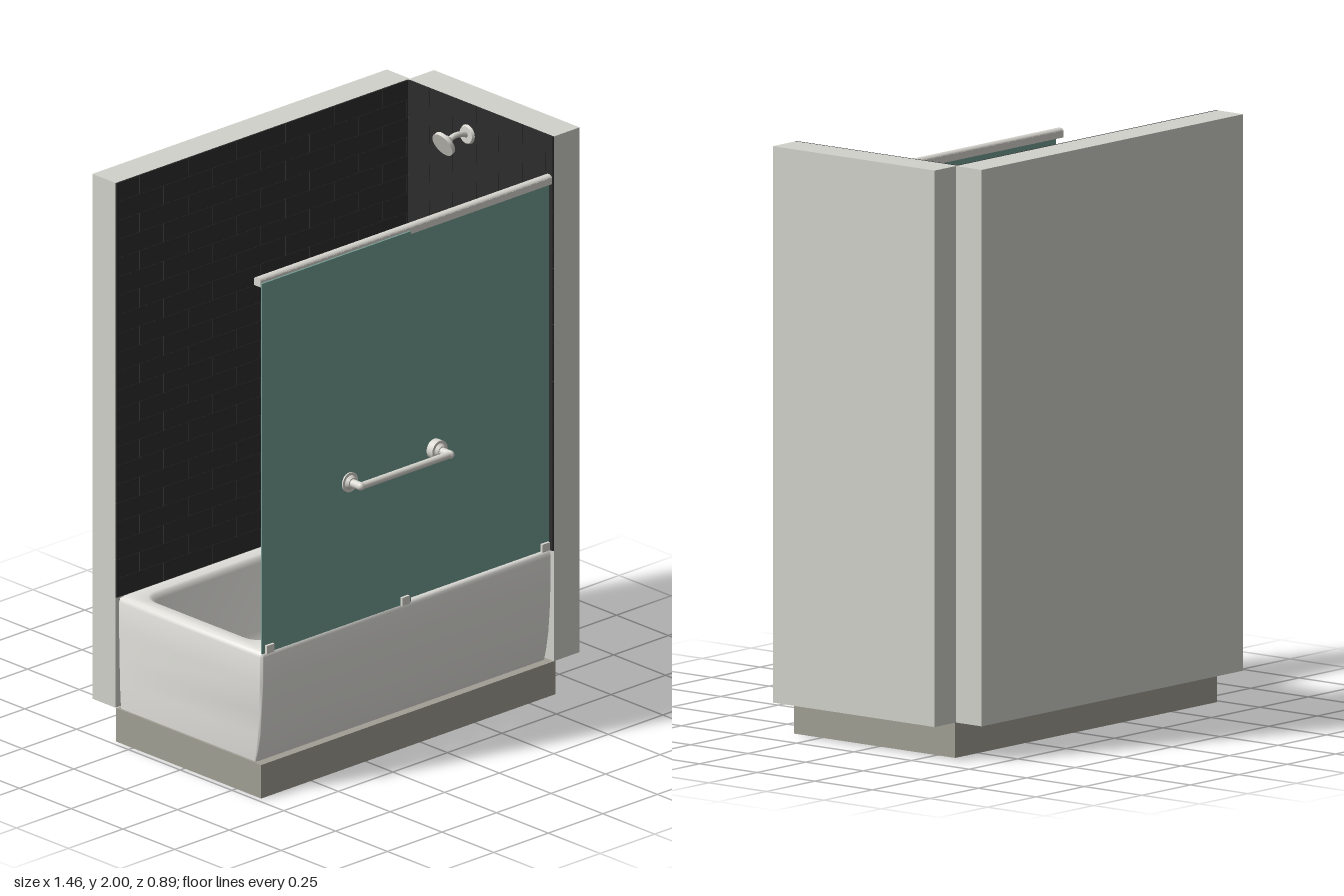
import * as THREE from 'three';
import { toCreasedNormals } from 'three/addons/utils/BufferGeometryUtils.js';

const mat = (name, color, side = THREE.FrontSide) => {
  const m = new THREE.MeshStandardMaterial({ color, side });
  m.name = name;
  return m;
};

export function createModel() {
  const model = new THREE.Group();
  model.name = 'bathtubShower';
  const plaster = mat('plaster', 0xd2d2cc);
  const stone = mat('stone', 0xa19f94);
  const tile = mat('blackTile', 0x2c2c2c);
  const glass = mat('tealGlass', 0x739c92);
  const enamel = mat('whiteEnamel', 0xe2e1dc);
  const metal = mat('paleMetal', 0xd9d7d0);

  const add = (name, geometry, material, parent = model) => {
    const mesh = new THREE.Mesh(geometry, material);
    mesh.name = name;
    parent.add(mesh);
    return mesh;
  };
  const group = (name) => {
    const g = new THREE.Group();
    g.name = name;
    model.add(g);
    return g;
  };
  // Box given by its limits on each axis
  const box = (name, material, [x0, x1], [y0, y1], [z0, z1], parent) => {
    const m = add(name, new THREE.BoxGeometry(x1 - x0, y1 - y0, z1 - z0), material, parent);
    m.position.set((x0 + x1) / 2, (y0 + y1) / 2, (z0 + z1) / 2);
    return m;
  };
  // Cylinder running between two points
  const rod = (name, from, to, r0, r1, parent) => {
    const a = new THREE.Vector3(...from), b = new THREE.Vector3(...to);
    const m = add(name, new THREE.CylinderGeometry(r1, r0, a.distanceTo(b), 24), metal, parent);
    m.position.copy(a).lerp(b, 0.5);
    m.quaternion.setFromUnitVectors(new THREE.Vector3(0, 1, 0), b.clone().sub(a).normalize());
    return m;
  };
  const tube = (name, points, r, parent) => {
    const curve = new THREE.CatmullRomCurve3(points.map((p) => new THREE.Vector3(...p)));
    return add(name, new THREE.TubeGeometry(curve, 28, r, 12), metal, parent);
  };

  // Base and the two walls
  box('base', stone, [-0.73, 0.62], [0, 0.12], [-0.33, 0.37]);
  box('backWall', plaster, [-0.73, 0.62], [0.12, 2], [-0.445, -0.333]);
  box('sideWall', plaster, [0.612, 0.73], [0.12, 2], [-0.333, 0.37]);

  // Running-bond tiles, with narrow open joints between neighbours
  const rowHeight = 0.0675, tileWidth = 0.223, gap = 0.003;
  const tileWall = (name, start, end, place) => {
    const wall = group(name);
    for (let row = 0; row < 22; row++) {
      const y1 = 2 - row * rowHeight, y0 = y1 - rowHeight + 0.0008;
      for (let s = start - (row % 2 ? 0.007 : 0.117); s < end; s += tileWidth) {
        const a = Math.max(s, start), b = Math.min(s + tileWidth - gap, end);
        if (b - a > 0.004) place(wall, a, b, y0, y1);
      }
    }
  };
  tileWall('backTiles', -0.73, 0.606, (w, a, b, y0, y1) =>
    box('tile', tile, [a, b], [y0, y1], [-0.333, -0.327], w));
  tileWall('sideTiles', -0.327, 0.37, (w, a, b, y0, y1) =>
    box('tile', tile, [0.606, 0.612], [y0, y1], [a, b], w));

  // Tub: rounded rectangles lofted up the apron, over the rim and into the basin
  // Each ring: y, xMin, xMax, zMin, zMax, corner radius
  const rings = [
    [0.12, -0.722, 0.604, -0.322, 0.338, 0.012],
    [0.16, -0.724, 0.604, -0.323, 0.348, 0.012],
    [0.22, -0.725, 0.605, -0.324, 0.357, 0.012],
    [0.3, -0.726, 0.605, -0.325, 0.364, 0.012],
    [0.4, -0.727, 0.605, -0.326, 0.368, 0.012],
    [0.5, -0.727, 0.605, -0.326, 0.369, 0.012],
    [0.513, -0.724, 0.603, -0.324, 0.366, 0.012],
    [0.52, -0.715, 0.597, -0.317, 0.358, 0.015],
    [0.519, -0.672, 0.562, -0.278, 0.298, 0.07],
    [0.513, -0.662, 0.552, -0.268, 0.288, 0.07],
    [0.495, -0.656, 0.546, -0.262, 0.282, 0.07],
    [0.28, -0.618, 0.508, -0.212, 0.235, 0.08],
    [0.235, -0.604, 0.494, -0.195, 0.221, 0.08],
    [0.208, -0.578, 0.465, -0.17, 0.196, 0.08],
    [0.2, -0.53, 0.42, -0.125, 0.15, 0.08],
  ];
  const steps = 7, count = 4 * (steps + 1), verts = [], faces = [];
  for (const [y, x0, x1, z0, z1, r] of rings) {
    const corners = [[x1 - r, z1 - r], [x0 + r, z1 - r], [x0 + r, z0 + r], [x1 - r, z0 + r]];
    corners.forEach(([cx, cz], c) => {
      for (let k = 0; k <= steps; k++) {
        const t = (c + k / steps) * Math.PI / 2;
        verts.push(cx + r * Math.cos(t), y, cz + r * Math.sin(t));
      }
    });
  }
  for (let j = 0; j < rings.length - 1; j++) {
    for (let i = 0; i < count; i++) {
      const n = (i + 1) % count;
      const a = j * count + i, c = j * count + n, b = a + count, d = c + count;
      faces.push(a, b, c, c, b, d);
    }
  }
  const center = verts.length / 3, last = (rings.length - 1) * count;
  verts.push(-0.05, 0.199, 0.01);
  for (let i = 0; i < count; i++) faces.push(last + i, center, last + (i + 1) % count);
  const tubGeometry = new THREE.BufferGeometry();
  tubGeometry.setAttribute('position', new THREE.Float32BufferAttribute(verts, 3));
  tubGeometry.setIndex(faces);
  add('tub', toCreasedNormals(tubGeometry, 0.9), enamel);
  rod('drain', [0.35, 0.198, 0.01], [0.35, 0.203, 0.01], 0.022, 0.02);

  // Sliding glass doors, top rail and bottom guides
  box('leftDoor', glass, [-0.73, -0.047], [0.518, 1.845], [0.368, 0.375]);
  box('rightDoor', glass, [-0.115, 0.606], [0.518, 1.835], [0.345, 0.352]);
  box('topRail', metal, [-0.73, 0.606], [1.83, 1.853], [0.335, 0.367]);
  const railCap = rod('railCap', [-0.73, 1.85, 0.351], [0.606, 1.85, 0.351], 0.016, 0.016);
  railCap.scale.x = 0.75;
  for (const [x, z] of [[-0.7, 0.375], [-0.08, 0.375], [0.585, 0.352]]) {
    box('doorGuide', metal, [x - 0.017, x + 0.017], [0.518, 0.547], [z - 0.012, z + 0.01]);
  }
  for (const x of [-0.117, 0.585]) {
    box('innerGuide', metal, [x - 0.017, x + 0.017], [0.518, 0.547], [0.335, 0.345]);
  }

  // Towel bar on the doors
  const bar = group('towelBar');
  for (const x of [-0.33, 0.08]) {
    rod('flange', [x, 1.025, 0.352], [x, 1.025, 0.38], 0.035, 0.035, bar);
    rod('collar', [x, 1.025, 0.38], [x, 1.025, 0.391], 0.025, 0.018, bar);
    rod('post', [x, 1.025, 0.385], [x, 1.025, 0.43], 0.014, 0.014, bar);
    add('barEnd', new THREE.SphereGeometry(0.0145, 16, 12), metal, bar).position.set(x, 1.025, 0.429);
  }
  rod('crossBar', [-0.33, 1.025, 0.429], [0.08, 1.025, 0.429], 0.0125, 0.0125, bar);

  // Shower head, mixing valve and tub spout on the side wall
  const z = -0.04;
  const shower = group('showerHead');
  rod('showerFlange', [0.607, 1.89, z], [0.597, 1.89, z], 0.035, 0.03, shower);
  tube('showerArm', [[0.603, 1.89, z], [0.57, 1.9, z], [0.54, 1.9, z], [0.515, 1.89, z]], 0.01, shower);
  rod('showerNeck', [0.522, 1.896, z], [0.502, 1.888, z], 0.014, 0.038, shower);
  rod('showerFace', [0.503, 1.8885, z], [0.49, 1.883, z], 0.045, 0.045, shower);

  const valve = group('mixingValve');
  rod('valvePlate', [0.607, 1, z], [0.594, 1, z], 0.065, 0.06, valve);
  rod('valveBody', [0.596, 1, z], [0.548, 1, z], 0.026, 0.023, valve);
  tube('valveLever', [[0.56, 1, z], [0.556, 0.98, 0], [0.56, 0.965, 0.02]], 0.008, valve);

  const spout = group('tubSpout');
  rod('spoutFlange', [0.607, 0.68, z], [0.598, 0.68, z], 0.035, 0.032, spout);
  rod('spoutBody', [0.6, 0.68, z], [0.505, 0.675, z], 0.022, 0.019, spout);
  rod('spoutMouth', [0.512, 0.688, z], [0.507, 0.645, z], 0.02, 0.017, spout);

  // Slim holder bent out from the side wall
  tube('wallHook', [[0.607, 1.2, 0.1], [0.56, 1.2, 0.11], [0.52, 1.2, 0.118],
    [0.5, 1.2, 0.08], [0.485, 1.2, 0.015]], 0.007);
  return model;
}
